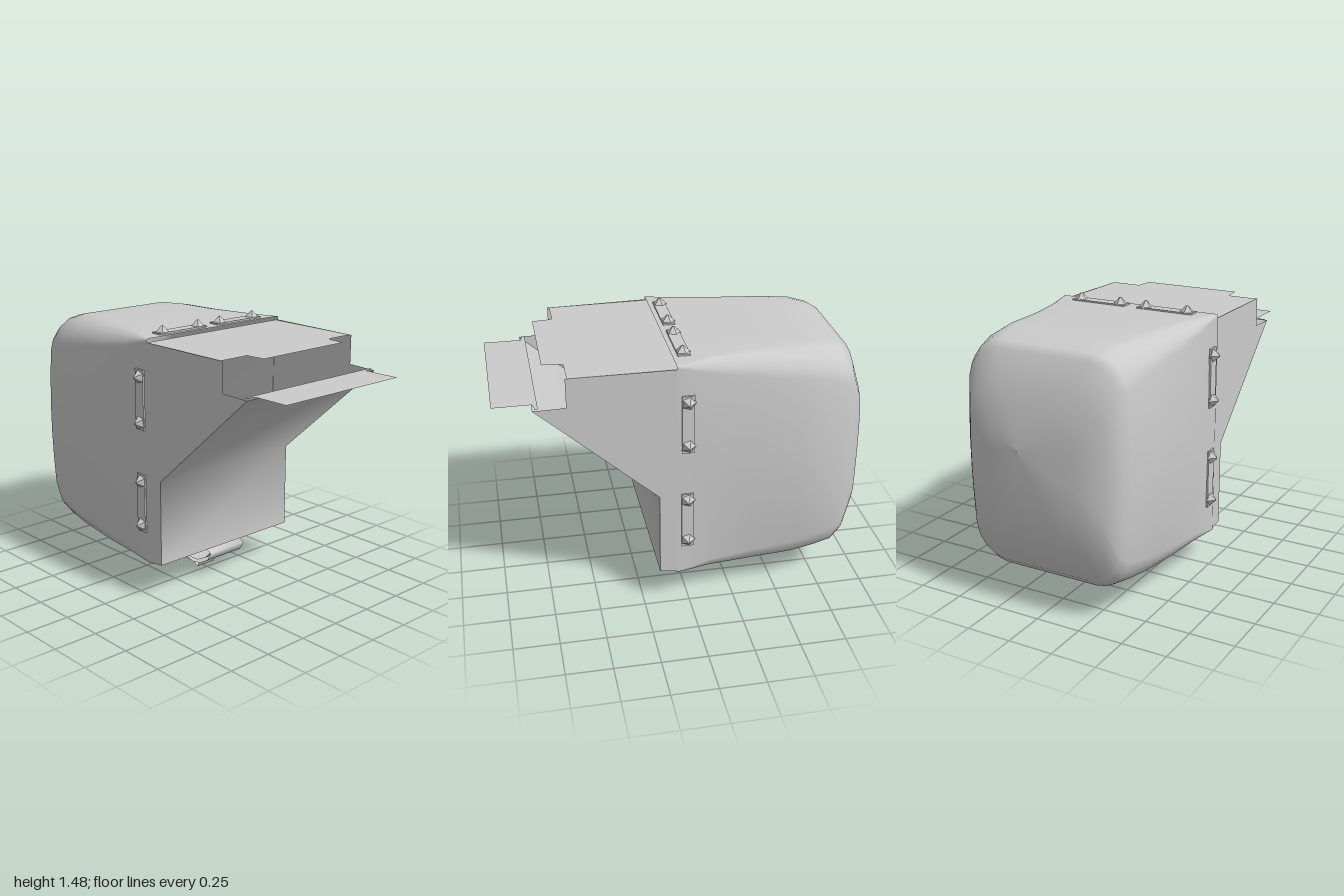
import * as THREE from 'three';

const mat = new THREE.MeshStandardMaterial({ color: 0xcccccc, side: THREE.DoubleSide });
const flatMat = new THREE.MeshStandardMaterial({ color: 0xcccccc, side: THREE.DoubleSide, flatShading: true });

function add(parent, name, geometry, material = mat) {
  const mesh = new THREE.Mesh(geometry, material);
  mesh.name = name;
  parent.add(mesh);
  return mesh;
}

function indexed(positions, indices) {
  const g = new THREE.BufferGeometry();
  g.setAttribute('position', new THREE.Float32BufferAttribute(positions, 3));
  g.setIndex(indices);
  g.computeVertexNormals();
  return g;
}

// Rounded rectangle as a closed loop of unit-independent points
function roundedRect(w, h, r) {
  const corners = [[1, 1], [-1, 1], [-1, -1], [1, -1]].map(([sx, sy], k) => {
    const arc = [];
    for (let i = 0; i <= 4; i++) {
      const a = (k + i / 4) * Math.PI / 2;
      arc.push([sx * (w - r) + r * Math.cos(a), sy * (h - r) + r * Math.sin(a)]);
    }
    return arc;
  });
  const loop = [];
  corners.forEach((arc, k) => {
    loop.push(...arc);
    const a = arc[4], b = corners[(k + 1) % 4][0];
    for (let i = 1; i < 5; i++) loop.push([a[0] + (b[0] - a[0]) * i / 5, a[1] + (b[1] - a[1]) * i / 5]);
  });
  return loop;
}

// Soft sack: rings from the open rim to the bulging back
function sackGeometry() {
  // z, xMin, xMax, yMin, yMax, corner radius, side bulge
  const rings = [
    [0.07, -0.485, 0.485, 0.18, 1.44, 0.01, 0],
    [0.0, -0.48, 0.48, 0.175, 1.44, 0.03, 0.005],
    [-0.12, -0.475, 0.465, 0.165, 1.445, 0.07, 0.02],
    [-0.35, -0.465, 0.455, 0.155, 1.445, 0.11, 0.04],
    [-0.6, -0.455, 0.465, 0.165, 1.445, 0.14, 0.055],
    [-0.74, -0.445, 0.455, 0.175, 1.44, 0.16, 0.05],
    [-0.84, -0.435, 0.445, 0.19, 1.415, 0.17, 0.035],
    [-0.89, -0.42, 0.43, 0.235, 1.385, 0.17, 0.03],
    [-0.95, -0.37, 0.39, 0.39, 1.22, 0.17, 0.02],
    [-0.985, -0.22, 0.27, 0.58, 1.07, 0.14, 0.01],
    [-1.0, 0.09, 0.1, 0.9, 0.91, 0.001, 0]
  ];
  const pos = [], idx = [];
  let n = 0;
  rings.forEach(([z, x0, x1, y0, y1, r, bulge]) => {
    const w = (x1 - x0) / 2, h = (y1 - y0) / 2;
    const loop = roundedRect(w, h, r);
    n = loop.length;
    for (const [x, y] of loop) {
      const swell = bulge * (x / w) * Math.cos(y / h * Math.PI / 2);
      pos.push((x0 + x1) / 2 + x + swell, (y0 + y1) / 2 + y, z);
    }
  });
  for (let i = 0; i < rings.length - 1; i++) {
    for (let j = 0; j < n; j++) {
      const a = i * n + j, b = i * n + (j + 1) % n;
      idx.push(a, a + n, b, b, a + n, b + n);
    }
  }
  return indexed(pos, idx);
}

// Chute walls narrow slightly towards the front
const wallX = z => 0.482 - 0.017 * (z - 0.07);

// Sheet spanning xMin..xMax along a (z, y) profile
function sheet(profile, xMin, xMax) {
  const pos = [], idx = [];
  profile.forEach(([z, y], i) => {
    pos.push(xMin(z), y, z, xMax(z), y, z);
    if (i) idx.push(2 * i - 2, 2 * i, 2 * i - 1, 2 * i - 1, 2 * i, 2 * i + 1);
  });
  return indexed(pos, idx);
}
const chuteSheet = profile => sheet(profile, z => -wallX(z), wallX);

function flatShape(points) {
  return new THREE.ShapeGeometry(new THREE.Shape(points.map(p => new THREE.Vector2(...p))));
}

function sideWall(sign) {
  const g = flatShape([[0.05, 1.42], [0.63, 1.415], [0.63, 1.255], [0.8, 1.25], [0.16, 0.68], [0.16, 0.2], [0.05, 0.19]]);
  g.rotateY(-Math.PI / 2);
  const p = g.attributes.position;
  for (let i = 0; i < p.count; i++) p.setX(i, sign * wallX(p.getZ(i)));
  g.computeVertexNormals();
  return g;
}

// Strap with a pointed stud at each end; local +y points away from the sack
function studdedStrap(length) {
  const strap = new THREE.Group();
  strap.name = 'studdedStrap';
  add(strap, 'strapPlate', new THREE.BoxGeometry(length, 0.012, 0.066));
  for (const s of [-1, 1]) {
    const stud = add(strap, 'stud', new THREE.CylinderGeometry(0.006, 0.042, 0.038, 5), flatMat);
    stud.position.set(s * (length / 2 - 0.04), 0.02, 0);
    stud.rotation.y = s * 0.6;
  }
  return strap;
}

export function createModel() {
  const model = new THREE.Group();
  model.name = 'hoodedSack';
  add(model, 'sack', sackGeometry());

  // Chute at the front
  const chute = new THREE.Group();
  chute.name = 'chute';
  model.add(chute);
  for (const s of [1, -1]) add(chute, s > 0 ? 'leftWall' : 'rightWall', sideWall(s));
  add(chute, 'frontPanel', chuteSheet([[0.8, 1.25], [0.16, 0.68], [0.16, 0.2]]));
  add(chute, 'bottomPanel', chuteSheet([[0.16, 0.2], [0.05, 0.19]]));

  // Roof with a tab, and the landing lip
  const roof = flatShape([[-0.482, -0.05], [0.482, -0.05], [0.472, -0.62], [0.3, -0.62], [0.29, -0.73],
    [-0.29, -0.73], [-0.3, -0.62], [-0.472, -0.62]]);
  add(chute, 'roof', roof.rotateX(-Math.PI / 2).translate(0, 1.415, 0));
  const lip = flatShape([[-0.467, -0.77], [0.467, -0.77], [0.465, -0.785], [0.41, -0.795], [0.41, -1],
    [-0.41, -1], [-0.41, -0.795], [-0.465, -0.785]]);
  add(chute, 'lip', lip.rotateX(-Math.PI / 2).translate(0, 1.257, 0));

  // Studded straps around the rim
  const place = (x, y, angle, length) => {
    const strap = studdedStrap(length);
    strap.position.set(x, y, 0.01);
    strap.rotation.z = angle;
    model.add(strap);
  };
  for (const s of [-1, 1]) {
    place(s * 0.205, 1.443, 0, 0.33);
    place(s * 0.205, 0.172, Math.PI, 0.33);
    for (const y of [0.525, 1.105]) place(s * 0.488, y, -s * Math.PI / 2, 0.33);
  }

  // Buckle strip and tongue beneath
  const band = (profile, x0, x1) => sheet(profile, () => x0, () => x1);
  add(model, 'buckleStrip', band([[0.08, 0.2], [0.15, 0.16], [0.12, 0.11], [0.06, 0.075], [0, 0.067],
    [-0.06, 0.08], [-0.13, 0.11], [-0.04, 0.088], [0.04, 0.09], [0.1, 0.12], [0.14, 0.16]], -0.11, 0.15));
  add(model, 'tongue', band([[-0.35, 0.14], [-0.24, 0.13], [-0.02, 0.04], [-0.04, 0.003], [-0.24, 0.115],
    [-0.35, 0.108], [-0.385, 0.145], [-0.28, 0.155]], -0.04, 0.085), flatMat);
  return model;
}
